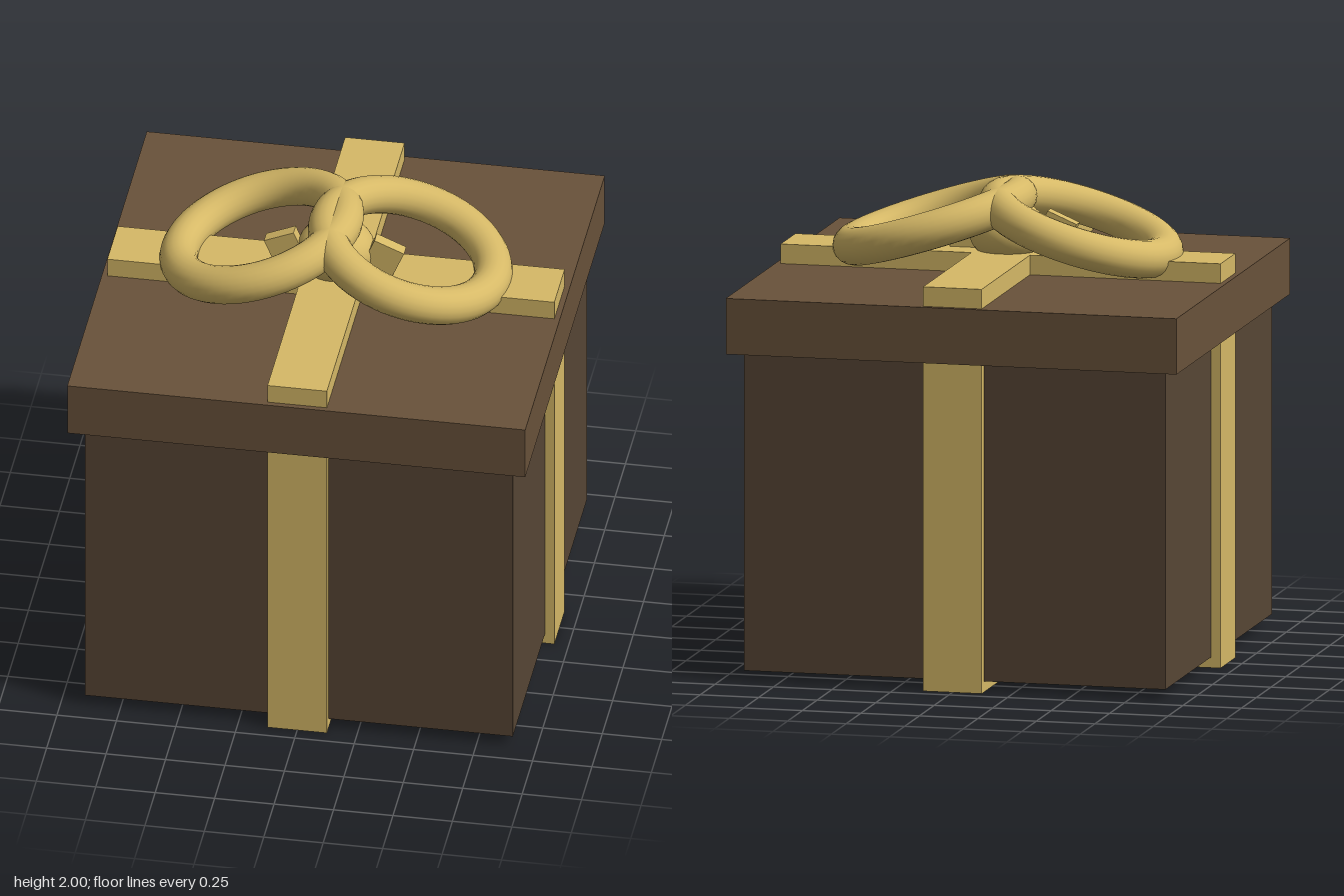
import * as THREE from 'three';

const material = (color) => new THREE.MeshStandardMaterial({ color });

export function createModel() {
  const model = new THREE.Group();
  model.name = 'giftBox';
  const boxColor = material(0x574635);
  const lidColor = material(0x69523a);
  const gold = material(0xd6b967);

  function add(name, geometry, mat, x, y, z) {
    const mesh = new THREE.Mesh(geometry, mat);
    mesh.name = name;
    mesh.position.set(x, y, z);
    model.add(mesh);
    return mesh;
  }

  // Box and overhanging lid
  add('boxBody', new THREE.BoxGeometry(1.8, 1.4, 1.8), boxColor, 0, 0.745, 0);
  add('lid', new THREE.BoxGeometry(1.926, 0.235, 1.926), lidColor, 0, 1.503, 0);

  // Crossed ribbon bands wrapping the whole box
  add('ribbonFrontToBack', new THREE.BoxGeometry(0.25, 1.703, 1.88), gold, 0, 0.8515, 0);
  add('ribbonSideToSide', new THREE.BoxGeometry(1.88, 1.703, 0.25), gold, 0, 0.8515, 0);

  // Flattened knot in the middle of the bow
  const knot = add('bowKnot', new THREE.SphereGeometry(0.163, 32, 20), gold, 0, 1.78, 0);
  knot.scale.y = 0.8;

  // Mirrored bow loops drooping outwards, and the ribbon tails beneath them
  const loopGeometry = new THREE.TorusGeometry(0.36, 0.08, 20, 64).rotateX(Math.PI / 2);
  const tailGeometry = new THREE.BoxGeometry(0.135, 0.3, 0.055);
  for (const [side, label] of [[1, 'left'], [-1, 'right']]) {
    const loop = add(label + 'BowLoop', loopGeometry, gold, side * 0.312, 1.81, 0);
    loop.rotation.z = -side * 0.3;
    const tail = add(label + 'BowTail', tailGeometry, gold, side * 0.174, 1.707, 0.021);
    tail.rotation.z = -side * 0.4;
  }
  return model;
}
